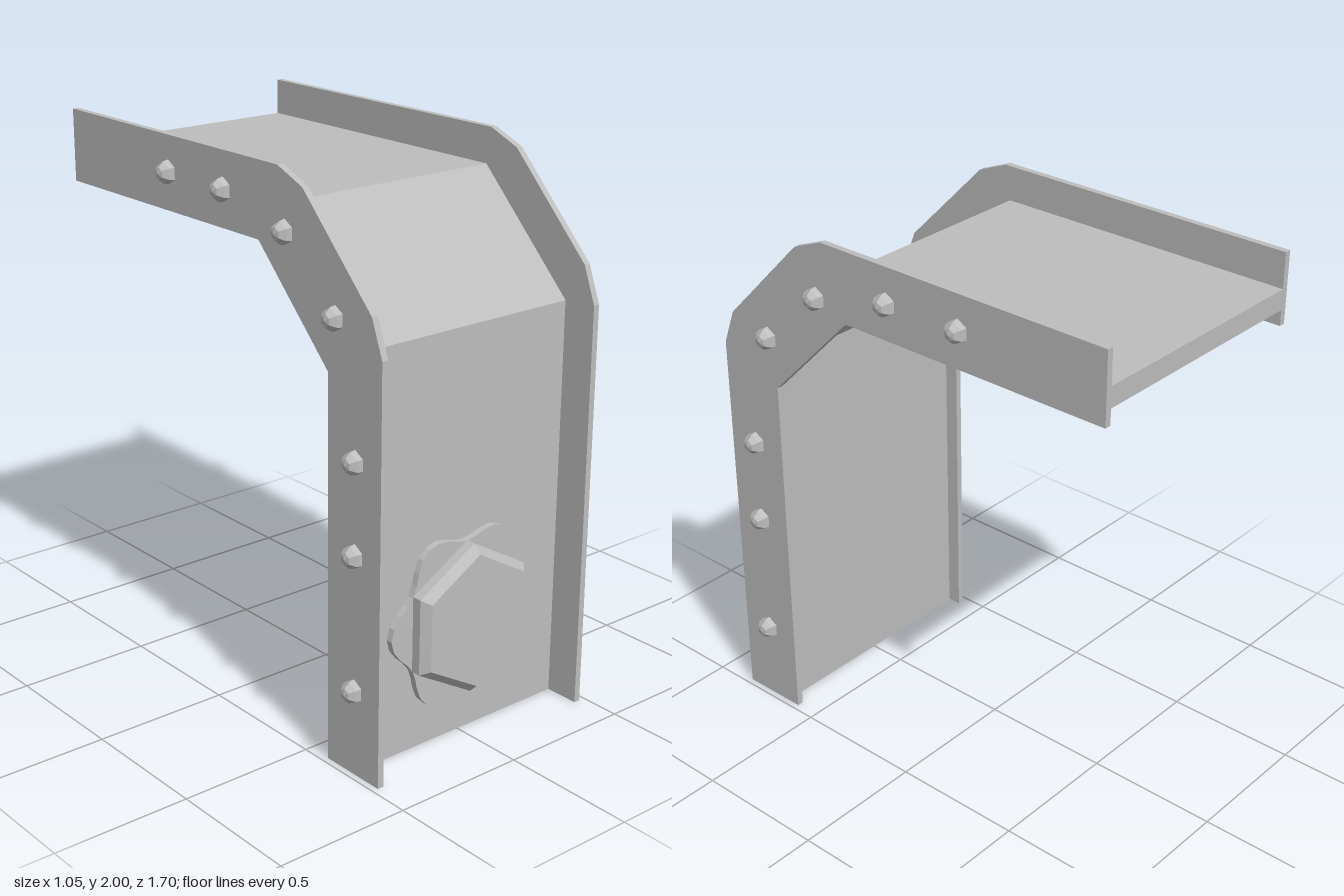
import * as THREE from 'three';

const steel = new THREE.MeshStandardMaterial({ color: 0xbdbdbd });
steel.name = 'grey steel';

const WEB_HALF = 0.453, OUTER = 0.477;

function addMesh(parent, name, geometry, x = 0, y = 0, z = 0) {
  const mesh = new THREE.Mesh(geometry, steel);
  mesh.name = name;
  mesh.position.set(x, y, z);
  parent.add(mesh);
  return mesh;
}

// Extrudes a (z, y) side profile across x, from x = 0 towards -x
function sideProfile(points, width) {
  const shape = new THREE.Shape(points.map(([z, y]) => new THREE.Vector2(z, y)));
  return new THREE.ExtrudeGeometry(shape, { depth: width, bevelEnabled: false }).rotateY(-Math.PI / 2);
}

// Six-sided faceted solid turned about y from (radius, height) points
function hexSolid(points) {
  const g = new THREE.LatheGeometry(points.map(([r, h]) => new THREE.Vector2(r, h)), 6).toNonIndexed();
  g.computeVertexNormals();
  return g;
}

export function createModel() {
  const model = new THREE.Group();
  model.name = 'bentGirder';

  // Bent plate between the flanges
  const web = [
    [0.72, 0], [0.72, 1.47], [0.32, 1.87], [-0.85, 1.87],
    [-0.85, 1.795], [0.29, 1.795], [0.645, 1.44], [0.645, 0],
  ];
  addMesh(model, 'web', sideProfile(web, WEB_HALF * 2), WEB_HALF);

  // Side flanges with clipped outer corners
  const flange = [
    [0.85, 0], [0.85, 1.48], [0.8, 1.61], [0.465, 1.95], [0.34, 2], [-0.85, 2],
    [-0.85, 1.737], [0.238, 1.737], [0.592, 1.38], [0.592, 0],
  ];
  const flangeGeometry = sideProfile(flange, OUTER - WEB_HALF);

  // Faceted rivet heads along each flange, as (z, y)
  const rivets = [
    [0.725, 0.31], [0.725, 0.793], [0.725, 1.115], [0.625, 1.565],
    [0.375, 1.79], [0.05, 1.868], [-0.26, 1.872],
  ];
  const rivetGeometry = hexSolid([[0.043, 0], [0.039, 0.02], [0.022, 0.04], [0, 0.046]])
    .rotateY(Math.PI / 2).rotateZ(-Math.PI / 2);

  for (const [side, s] of [['left', 1], ['right', -1]]) {
    addMesh(model, side + 'Flange', flangeGeometry, s > 0 ? OUTER : -WEB_HALF);
    const row = new THREE.Group();
    row.name = side + 'Rivets';
    for (const [z, y] of rivets) {
      const rivet = addMesh(row, 'rivet', rivetGeometry, s * OUTER, y, z);
      if (s < 0) rivet.rotation.y = Math.PI;
    }
    model.add(row);
  }

  // Six-lobed washer plate
  const lobes = [];
  for (let i = 0; i < 48; i++) {
    const a = (i / 48) * Math.PI * 2;
    const r = 0.303 + 0.029 * Math.cos(6 * a);
    lobes.push(new THREE.Vector2(r * Math.cos(a), r * Math.sin(a)));
  }
  const washer = new THREE.ExtrudeGeometry(new THREE.Shape(lobes), { depth: 0.025, bevelEnabled: false });
  addMesh(model, 'washer', washer, 0, 0.447, 0.72);

  // Large hexagonal bolt head with a chamfered rim
  const head = hexSolid([[0.276, 0], [0.276, 0.06], [0.245, 0.09], [0, 0.09]]).rotateX(Math.PI / 2);
  addMesh(model, 'boltHead', head, 0, 0.447, 0.72);

  return model;
}
